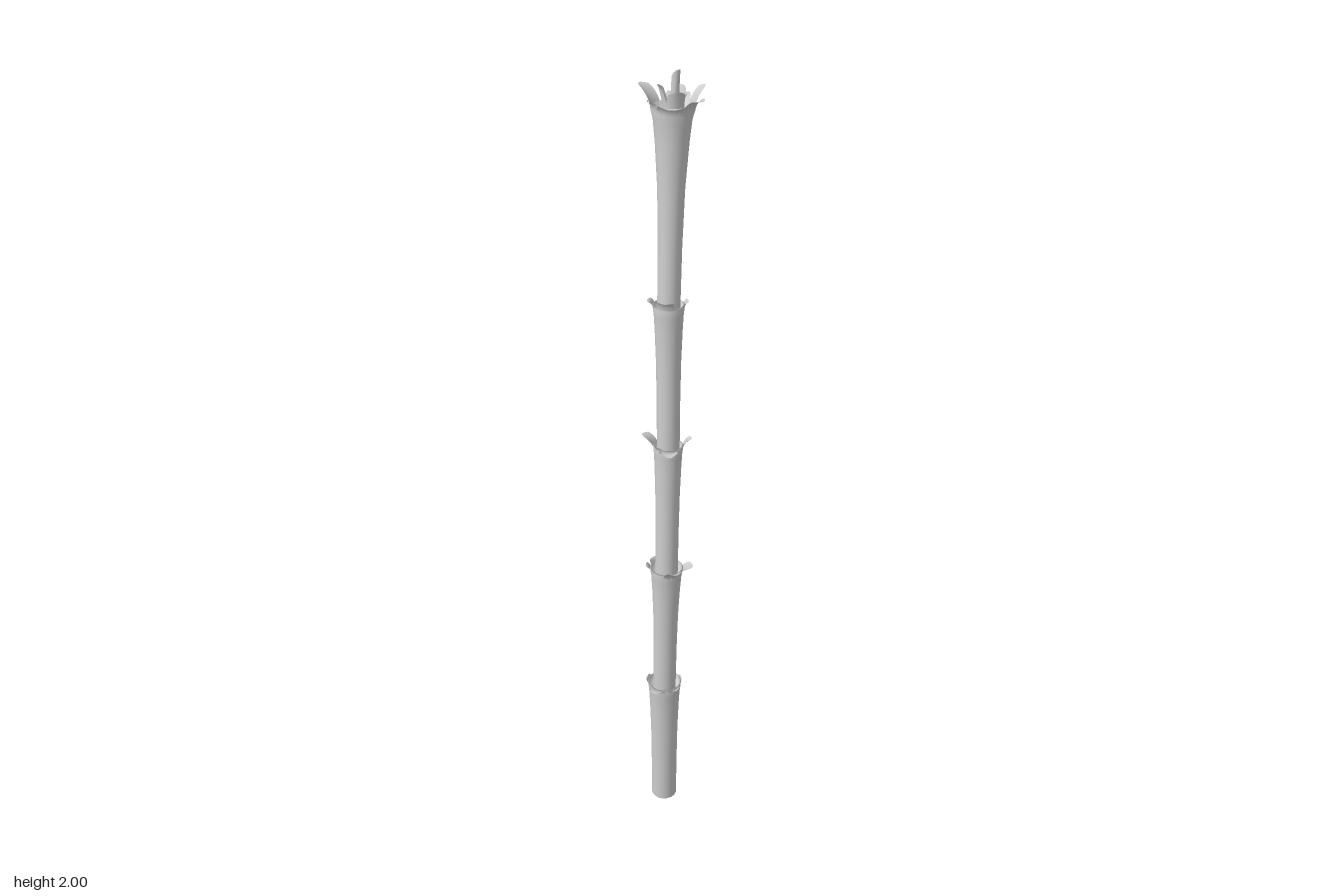
import * as THREE from 'three';

const material = new THREE.MeshStandardMaterial({ color: 0xcccccc, side: THREE.DoubleSide });

// Joints of the leaning cane, from the ground to the crown
const joints = [
  [-0.014, 0, 0.079], [-0.012, 0.397, 0.075], [-0.007, 0.765, 0.063],
  [-0.004, 1.11, 0.035], [-0.004, 1.472, 0.008], [0.002, 1.918, -0.046],
].map(p => new THREE.Vector3(...p));

// Per section: stem radius, rim radius and flaps.
// Flap: [angle in degrees from front towards +x, half width, reach, rise, droop]
const sections = [
  { stem: 0.033, rim: 0.043, flaps: [
    [-25, 0.024, 0.018, 0.018, 0.012], [40, 0.018, 0.01, 0.014, 0.01],
    [190, 0.022, 0.016, 0.016, 0.012], [-95, 0.02, 0.006, 0.012, 0.006], [105, 0.015, 0.004, 0.01, 0.004]] },
  { stem: 0.029, rim: 0.041, flaps: [
    [22, 0.021, 0.036, 0.036, 0.008], [80, 0.022, 0.027, 0.026, 0.012],
    [-70, 0.02, 0.014, 0.026, 0.012], [175, 0.025, 0.022, 0.026, 0.008], [-125, 0.015, 0.008, 0.014, 0.006]] },
  { stem: 0.028, rim: 0.036, flaps: [
    [5, 0.024, 0.045, 0.026, 0.016], [-100, 0.019, 0.03, 0.034, 0.012],
    [85, 0.016, 0.022, 0.034, 0.01], [180, 0.024, 0.035, 0.034, 0.014], [-40, 0.014, 0.008, 0.016, 0.006]] },
  { stem: 0.027, rim: 0.037, flaps: [
    [-10, 0.024, 0.014, 0.036, 0.014], [-85, 0.02, 0.014, 0.022, 0.012],
    [85, 0.02, 0.01, 0.02, 0.01], [175, 0.024, 0.018, 0.016, 0.016]] },
  { stem: 0.026, rim: 0.049, flaps: [
    [172, 0.031, 0.044, 0.032, 0.024], [-118, 0.021, 0.038, 0.052, 0.014],
    [122, 0.014, 0.031, 0.048, 0.01], [58, 0.026, 0.03, 0.042, 0.02],
    [0, 0.036, 0.024, 0.028, 0.018], [-60, 0.022, 0.012, 0.026, 0.012]] },
];

function mesh(name, geometry) {
  const m = new THREE.Mesh(geometry, material);
  m.name = name;
  return m;
}

// Curling leaf strip rooted on a rim of the given radius
function flapGeometry(radius, [degrees, halfWidth, reach, rise, droop]) {
  const geometry = new THREE.PlaneGeometry(1, 1, 6, 8);
  const pos = geometry.attributes.position;
  for (let i = 0; i < pos.count; i++) {
    const u = pos.getX(i) * 2;
    const t = pos.getY(i) + 0.5;
    const roundedTip = 1 - 0.18 * u * u * t;
    const s = t * roundedTip;
    const phi = u * (halfWidth / radius) * (1 - 0.25 * s * s);
    pos.setXYZ(i,
      radius * Math.sin(phi),
      rise * s - droop * s ** 3 - 0.01 * (1 - t),
      radius * Math.cos(phi) + reach * s ** 1.6);
  }
  geometry.rotateY(THREE.MathUtils.degToRad(degrees));
  geometry.computeVertexNormals();
  return geometry;
}

// Hollow-topped cane section, flaring to its rim
function sectionGeometry(length, { stem, rim }, start) {
  const f = rim - stem;
  const points = [
    [0, start], [stem, start], [stem, start], [stem + f * 0.05, length * 0.3],
    [stem + f * 0.2, length * 0.6], [stem + f * 0.5, length * 0.83],
    [stem + f * 0.72, length * 0.94], [rim, length], [rim - 0.004, length + 0.002],
    [stem + f * 0.4, length - 0.02], [0, length - 0.03],
  ].map(p => new THREE.Vector2(...p));
  return new THREE.LatheGeometry(points, 18);
}

export function createModel() {
  const model = new THREE.Group();
  model.name = 'cane';
  const up = new THREE.Vector3(0, 1, 0);

  sections.forEach((spec, i) => {
    const axis = joints[i + 1].clone().sub(joints[i]);
    const length = axis.length();
    const section = new THREE.Group();
    section.name = `section${i + 1}`;
    section.position.copy(joints[i]);
    section.quaternion.setFromUnitVectors(up, axis.normalize());
    section.add(mesh('stem', sectionGeometry(length, spec, i ? -0.04 : 0)));

    // Sheath flaps around the joint
    spec.flaps.forEach(flap => {
      const leaf = mesh('sheathFlap', flapGeometry(spec.rim - 0.002, flap));
      leaf.position.y = length;
      section.add(leaf);
    });

    // Furled young leaves inside the crown
    if (i === sections.length - 1) {
      const inner = [
        [20, 0.026, 0.012, 0.055, 0.005], [150, 0.024, 0.012, 0.06, 0.008],
        [-90, 0.022, 0.014, 0.065, 0.008], [80, 0.02, 0.012, 0.05, 0.01],
      ];
      inner.forEach((leafSpec, k) => {
        const leaf = mesh('innerLeaf', flapGeometry(0.024 - 0.002 * k, leafSpec));
        leaf.position.y = length - 0.012;
        section.add(leaf);
      });
      const bud = mesh('bud', flapGeometry(0.009, [40, 0.024, 0.004, 0.095, 0.003]));
      bud.position.set(0.003, length - 0.012, 0);
      section.add(bud);
    }
    model.add(section);
  });
  return model;
}
